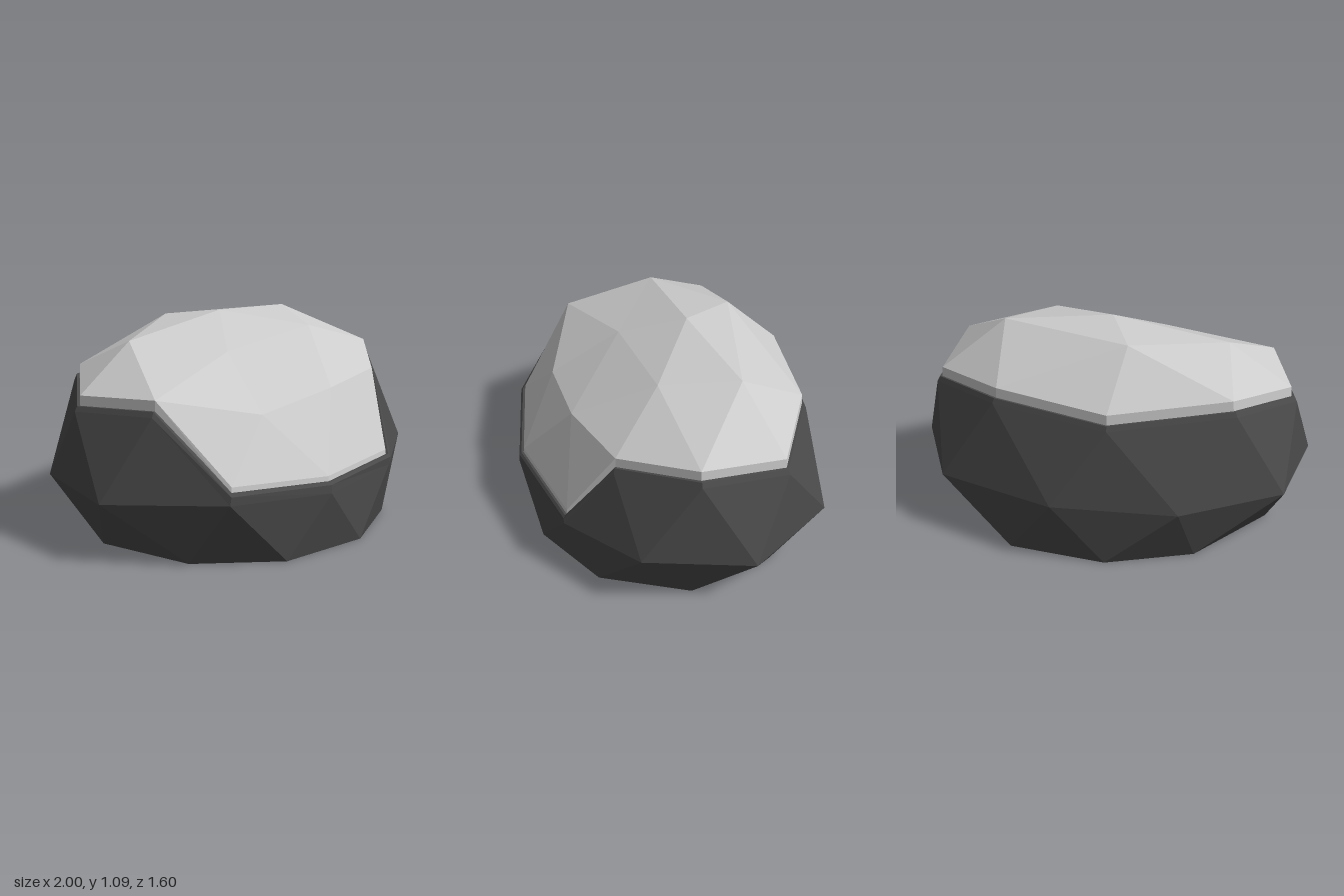
import * as THREE from 'three';

// Rings run counter-clockwise seen from above; points are [x, y, z].
const bottom = [[0.63, 0.47], [0.81, 0.02], [0.66, -0.43], [0.28, -0.73], [-0.22, -0.69],
  [-0.61, -0.45], [-0.85, 0.04], [-0.63, 0.5], [-0.22, 0.74], [0.26, 0.72]].map(([x, z]) => [x, 0, z]);
const belly = [[0.53, 0.32, 0.62], [0.9, 0.35, 0.29], [1, 0.32, -0.26], [0.67, 0.32, -0.7], [0.02, 0.33, -0.8],
  [-0.58, 0.32, -0.63], [-1, 0.32, -0.24], [-1, 0.32, 0.31], [-0.55, 0.35, 0.74], [0, 0.32, 0.8]];
const shoulder = [[0.62, 0.78, 0.36], [0.87, 0.85, 0], [0.79, 0.79, -0.43], [0.37, 0.83, -0.63], [-0.22, 0.8, -0.65],
  [-0.75, 0.84, -0.36], [-0.94, 0.78, 0.03], [-0.75, 0.81, 0.42], [-0.25, 0.7, 0.57], [0.21, 0.76, 0.52]];
const crown = [[0.38, 1.0, 0.11], [0.49, 1.05, -0.28], [-0.22, 1.05, -0.38], [-0.63, 1.0, -0.04], [-0.21, 0.94, 0.21]];
const apex = [-0.04, 1.09, -0.12];
// Low front lip where the cap drapes down
const lipLeft = [0.52, 0.4, 0.6], lipRight = [-0.525, 0.43, 0.715], lipMid = [0, 0.4, 0.77];
const rim = [lipLeft, ...shoulder.slice(0, 8), lipRight, lipMid];

// Rim copy, scaled sideways and lowered (less on the front lip)
const offsetRim = (scale, drop) =>
  rim.map(([x, y, z]) => [x * scale, y - drop * (y < 0.5 ? 0.5 : 1), z * scale]);

// Same-length rings joined quad by quad
function band(tris, low, high) {
  const n = low.length;
  for (let i = 0; i < n; i++) {
    const j = (i + 1) % n;
    tris.push(low[i], low[j], high[i], high[i], low[j], high[j]);
  }
}

// Staggered rings joined in order of angle around y
function bridge(tris, low, high) {
  const start = -Math.PI / 3, turn = Math.PI * 2;
  const angle = (ring, i) => {
    const [x, , z] = ring[i % ring.length];
    let a = Math.atan2(-z, x);
    if (a < start) a += turn;
    return a + (i >= ring.length ? turn : 0);
  };
  let i = 0, j = 0;
  while (i < low.length || j < high.length) {
    const l = low[i % low.length], h = high[j % high.length];
    const goLow = j >= high.length || (i < low.length && angle(low, i + 1) <= angle(high, j + 1));
    if (goLow) tris.push(l, low[++i % low.length], h);
    else tris.push(l, high[++j % high.length], h);
  }
}

function facetedMesh(name, tris, color) {
  const geometry = new THREE.BufferGeometry();
  geometry.setAttribute('position', new THREE.Float32BufferAttribute(tris.flat(), 3));
  geometry.computeVertexNormals();
  const mesh = new THREE.Mesh(geometry, new THREE.MeshStandardMaterial({ color, flatShading: true }));
  mesh.name = name;
  return mesh;
}

function buildRock() {
  const tris = [];
  bottom.forEach((b, i) => tris.push([0, 0, 0], bottom[(i + 1) % bottom.length], b));
  bridge(tris, bottom, belly);
  const edge = offsetRim(1.035, 0.075), bevel = offsetRim(1.02, 0.05), inner = offsetRim(0.98, 0.05);
  bridge(tris, belly, edge);
  band(tris, edge, bevel);
  band(tris, bevel, inner);
  return facetedMesh('rock', tris, 0x4a4a4a);
}

function buildCap() {
  const tris = [];
  // Upper facets: five fans around the crown points, closed at the apex
  crown.forEach((c, k) => {
    const next = crown[(k + 1) % 5];
    const before = shoulder[(2 * k + 9) % 10], mid = shoulder[2 * k], after = shoulder[2 * k + 1];
    tris.push(before, mid, c, mid, after, c, after, next, c, c, next, apex);
  });
  // Draped front: zigzag between the shoulder and the lip
  const [h, i, j] = shoulder.slice(7), a = shoulder[0];
  tris.push(h, lipRight, i, lipRight, lipMid, i, i, lipMid, j, lipMid, lipLeft, j, j, lipLeft, a);
  // Thickness along the edge
  band(tris, offsetRim(1.005, 0.06), rim);
  return facetedMesh('snowCap', tris, 0xcccccc);
}

export function createModel() {
  const group = new THREE.Group();
  group.name = 'cappedBoulder';
  group.add(buildRock(), buildCap());
  return group;
}
